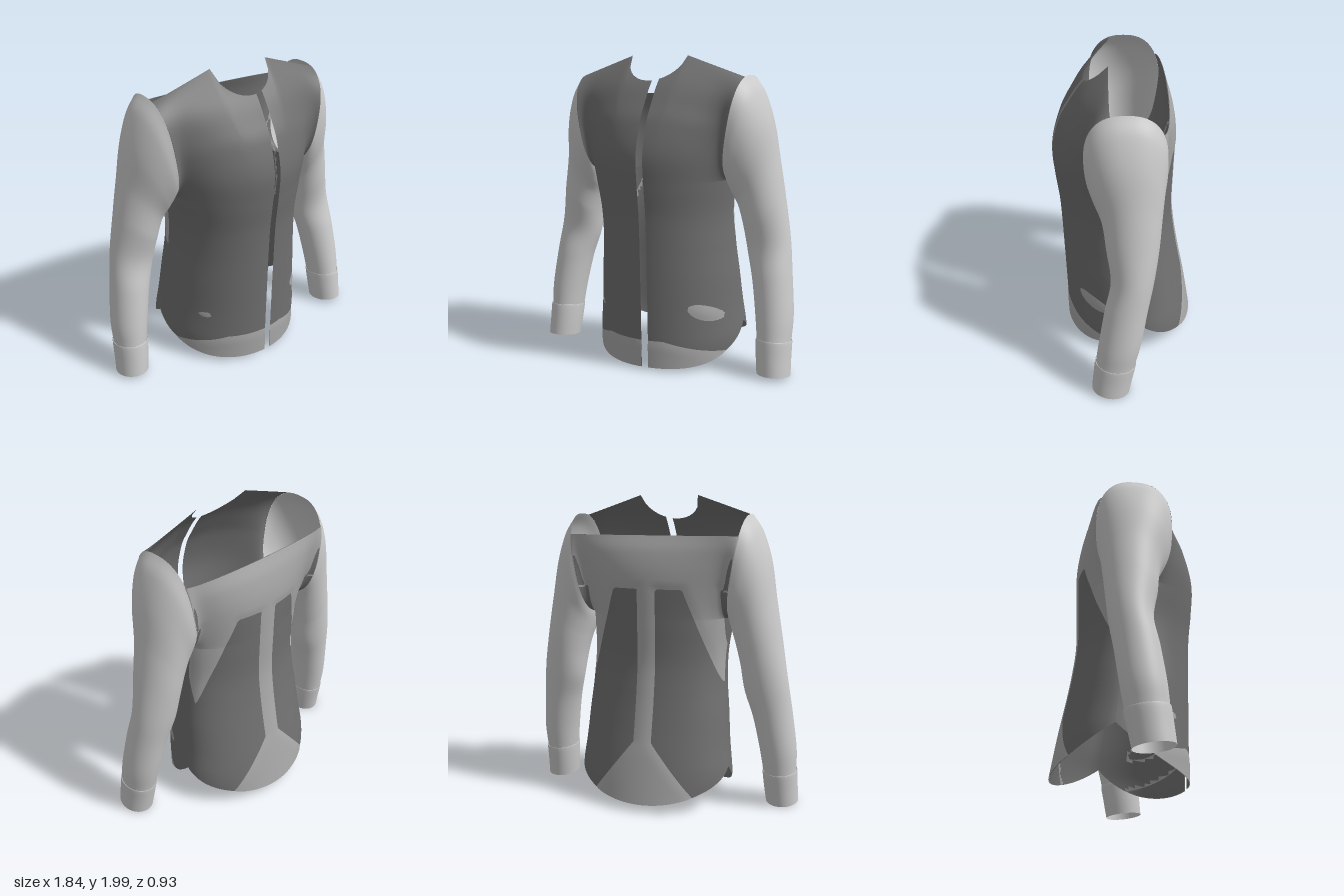
import * as THREE from 'three';

const { lerp, clamp } = THREE.MathUtils;
const cloth = color => new THREE.MeshStandardMaterial({ color, side: THREE.DoubleSide });
const sleeveCloth = cloth(0xdedede), bodyCloth = cloth(0x707070), patchCloth = cloth(0xa8a8a8);

// Smooth interpolation through [key, value] pairs with rising keys
function smooth(pts) {
  const slope = i => {
    const a = pts[Math.max(i - 1, 0)], b = pts[Math.min(i + 1, pts.length - 1)];
    return (b[1] - a[1]) / (b[0] - a[0]);
  };
  return k => {
    k = clamp(k, pts[0][0], pts[pts.length - 1][0]);
    let i = 0;
    while (i < pts.length - 2 && k > pts[i + 1][0]) i++;
    const [k0, v0] = pts[i], [k1, v1] = pts[i + 1], d = k1 - k0, t = (k - k0) / d;
    const t2 = t * t, t3 = t2 * t;
    return (2 * t3 - 3 * t2 + 1) * v0 + (t3 - 2 * t2 + t) * d * slope(i)
      + (3 * t2 - 2 * t3) * v1 + (t3 - t2) * d * slope(i + 1);
  };
}

// Surface from f(i, j) -> [x, y, z]; flip reverses the winding for mirrored parts,
// field(x, y) keeps only the faces that reach into its positive area
function sheet(name, material, nu, nv, f, { wrap = false, flip = false, field = () => 1 } = {}) {
  const pos = [], idx = [], cols = wrap ? nu : nu + 1;
  for (let j = 0; j <= nv; j++) for (let i = 0; i < cols; i++) pos.push(...f(i, j));
  const inside = k => field(pos[3 * k], pos[3 * k + 1]) > 0;
  for (let j = 0; j < nv; j++) for (let i = 0; i < nu; i++) {
    const a = j * cols + i, b = j * cols + (i + 1) % cols, c = a + cols, d = b + cols;
    if (![a, b, c, d].some(inside)) continue;
    if (flip) idx.push(a, d, b, a, c, d);
    else idx.push(a, b, d, a, d, c);
  }
  const g = new THREE.BufferGeometry();
  g.setAttribute('position', new THREE.Float32BufferAttribute(pos, 3));
  g.setIndex(idx);
  g.computeVertexNormals();
  const mesh = new THREE.Mesh(g, material);
  mesh.name = name;
  return mesh;
}

// Body profiles by height
const UNDERARM = 1.23, NECK = 0.2;
const halfWidth = smooth([[0.1, 0.505], [0.2, 0.512], [0.4, 0.49], [0.6, 0.474], [0.8, 0.455], [1, 0.45], [1.23, 0.475]]);
const chestZ = smooth([[0.03, 0.4], [0.6, 0.415], [1, 0.43], [1.2, 0.452], [1.4, 0.462], [1.6, 0.41],
  [1.7, 0.355], [1.84, 0.26], [2, 0.1]]);
const backZ = smooth([[0.06, -0.46], [0.35, -0.41], [0.55, -0.37], [0.75, -0.335], [0.95, -0.312],
  [1.2, -0.315], [1.5, -0.32], [1.65, -0.3], [1.75, -0.265]]);
const seamZ = y => lerp(-0.11, 0, clamp((y - 0.27) / (UNDERARM - 0.27), 0, 1));
const shift = y => 0.012 * clamp((UNDERARM - y) / 0.4, 0, 1);

// Armhole loop shared by the body and the sleeves
const CAP = 0.8, ARM_Y = 1.555, ARM_H = 0.325, ARM_Z = 0.245;
const armX = y => 0.53 + 0.055 * (y - ARM_Y) / ARM_H;
const armZ = y => {
  const c = Math.pow(Math.min(Math.abs((y - ARM_Y) / ARM_H), 1), 1 / CAP);
  return ARM_Z * Math.pow(Math.max(1 - c * c, 0), CAP / 2);
};
const ease = t => (1 - Math.cos(Math.PI * t)) / 2;
const arc = f => Math.sqrt(Math.max(1 - f * f, 0));
// Depth between the centre line and the armhole: rounded low down, straight at the top
function depth(arm, centre, r, w, t) {
  const round = Math.cbrt((centre * w) ** 3 + (arm * r ** 4) ** 3);
  return lerp(round, lerp(arm, centre, w), t * t);
}
const LOW = 48, HIGH = 36;

// Paler patches lie just outside the dark cloth and sink into it at their outlines
const frontPatch = (x, y) => Math.max(
  0.21 - 0.3 * Math.max(0, Math.abs(x + 0.03) - 0.2) - y,
  0.05 - Math.hypot((x - 0.39) * 0.6, y - 0.39 + (x - 0.39) * 0.4),
  0.02 - Math.hypot((x + 0.35) * 0.6, y - 0.38));
const backPatch = (x, y) => {
  const h = Math.abs(x);
  return Math.max(y - 1.42,
    Math.min(h - 0.23 - 0.35 * (1.42 - y), 0.45 - h),
    0.06 + 0.8 * Math.max(0, 0.45 - y) - h);
};
const lift = (field, x, y) => field ? 0.005 * clamp(field(x, y) / 0.04, -1, 1) : 0;

// Front panel from the opening to the side seam, with neckline, shoulder and armhole
function frontPanel(name, side, xIn, material, field) {
  const N = 36, K = 9, xTop = armX(1.87);
  const fn = (NECK - xIn) / (xTop - xIn), a0 = Math.asin(fn);
  return sheet(name, material, N, LOW + HIGH, (i, j) => {
    const f = i <= K ? fn * i / K : Math.sin(lerp(a0, Math.PI / 2, (i - K) / (N - K)));
    if (j <= LOW) {
      const hem = 0.03 + 0.24 * Math.pow(Math.asin(Math.min(f, 1)) / (Math.PI / 2), 3.4);
      const y = lerp(hem, UNDERARM, j / LOW);
      const xs = halfWidth(y) + side * shift(y), x = lerp(xIn, xs, f), w = arc(x / xs);
      const o = lift(field, side * x, y);
      return [side * (x + o * x / xs), y, lerp(seamZ(y), chestZ(y), w) + o * w];
    }
    const e = ease((j - LOW) / HIGH);
    const xt = lerp(xIn, xTop, f);
    const top = i < K ? 2 - 0.155 * arc(xt / NECK) : lerp(2, 1.87, (xt - NECK) / (xTop - NECK));
    const ys = lerp(UNDERARM, 1.87, e), xs = armX(ys), x = lerp(xIn, xs, f);
    const centre = chestZ(lerp(UNDERARM, i < K ? top : 2, e));
    return [side * x, lerp(UNDERARM, top, e), depth(armZ(ys), centre, x / xs, arc(x / xs), e)];
  }, { flip: side < 0, field });
}

// Back panel, cut straight across below the shoulders
function backPanel(name, material, field) {
  const N = 64, TOP = 1.75;
  return sheet(name, material, N, LOW + HIGH, (i, j) => {
    const a = lerp(Math.PI / 2, -Math.PI / 2, i / N), f = Math.sin(a), w = Math.cos(a);
    let x, y, z;
    if (j <= LOW) {
      y = lerp(0.06 + 0.21 * (1 - w), UNDERARM, j / LOW);
      x = f * halfWidth(y) + shift(y) * Math.abs(f);
      z = lerp(seamZ(y), backZ(y), w);
    } else {
      const t = (j - LOW) / HIGH;
      y = lerp(UNDERARM, TOP, t * t * (2 - t));
      x = f * armX(y);
      z = -depth(armZ(y), -backZ(y), Math.abs(f), w, t);
    }
    const o = lift(field, x, y);
    return [x + o * f, y, z - o * w];
  }, { field });
}

// Sleeve stations: outer x, y, inner x, y, middle z, half depth
const sleeveRows = [
  [0.585, 1.88, 0.475, 1.23, 0, ARM_Z],
  [0.655, 1.78, 0.48, 1.19, -0.005, 0.238],
  [0.72, 1.6, 0.495, 1.13, -0.015, 0.212],
  [0.765, 1.36, 0.52, 1.05, -0.035, 0.178],
  [0.808, 1.12, 0.55, 0.93, -0.04, 0.158],
  [0.85, 0.87, 0.58, 0.77, -0.038, 0.132],
  [0.88, 0.65, 0.63, 0.6, 0, 0.133],
  [0.908, 0.4, 0.67, 0.4, 0.038, 0.133],
  [0.908, 0.24, 0.695, 0.24, 0.068, 0.124],
];
const cuffRows = [
  [0.908, 0.24, 0.695, 0.24, 0.068, 0.124],
  [0.914, 0.235, 0.69, 0.235, 0.069, 0.13],
  [0.916, 0.13, 0.698, 0.13, 0.085, 0.126],
  [0.92, 0.025, 0.71, 0.025, 0.1, 0.121],
];

function tube(name, rows, steps, side, capped) {
  const track = rows[0].map((_, c) => smooth(rows.map((r, i) => [i, r[c]])));
  const N = 48;
  return sheet(name, sleeveCloth, N, steps, (i, j) => {
    const t = j / steps * (rows.length - 1);
    const [xo, yo, xi, yi, zc, hz] = track.map(g => g(t));
    const p = capped ? lerp(CAP, 1, Math.min(t / 3, 1)) : 1;
    const pow = v => Math.sign(v) * Math.pow(Math.abs(v), p);
    const a = i / N * Math.PI * 2, c = pow(Math.cos(a)), s = pow(Math.sin(a));
    const tilt = capped ? 0.12 * clamp(t - 7, 0, 1) : 0.12;
    // The right forearm hangs slightly further back
    const swing = side > 0 ? 0 : -0.04 * (capped ? clamp((t - 4) / 4, 0, 1) : 1);
    return [side * ((xo + xi) / 2 + c * (xo - xi) / 2),
      (yo + yi) / 2 + c * (yo - yi) / 2 + tilt * s * hz, zc + swing + s * hz];
  }, { wrap: true, flip: side < 0 });
}

export function createModel() {
  const shirt = new THREE.Group();
  shirt.name = 'shirt';
  shirt.add(backPanel('backPanel', bodyCloth), backPanel('backPatches', patchCloth, backPatch));
  for (const [label, side, opening] of [['left', 1, 0.075], ['right', -1, -0.03]]) {
    shirt.add(
      frontPanel(label + 'FrontPanel', side, opening, bodyCloth),
      frontPanel(label + 'FrontPatches', side, opening, patchCloth, frontPatch));
    const arm = new THREE.Group();
    arm.name = label + 'Arm';
    arm.add(tube(label + 'Sleeve', sleeveRows, 64, side, true), tube(label + 'Cuff', cuffRows, 18, side, false));
    shirt.add(arm);
  }
  return shirt;
}
